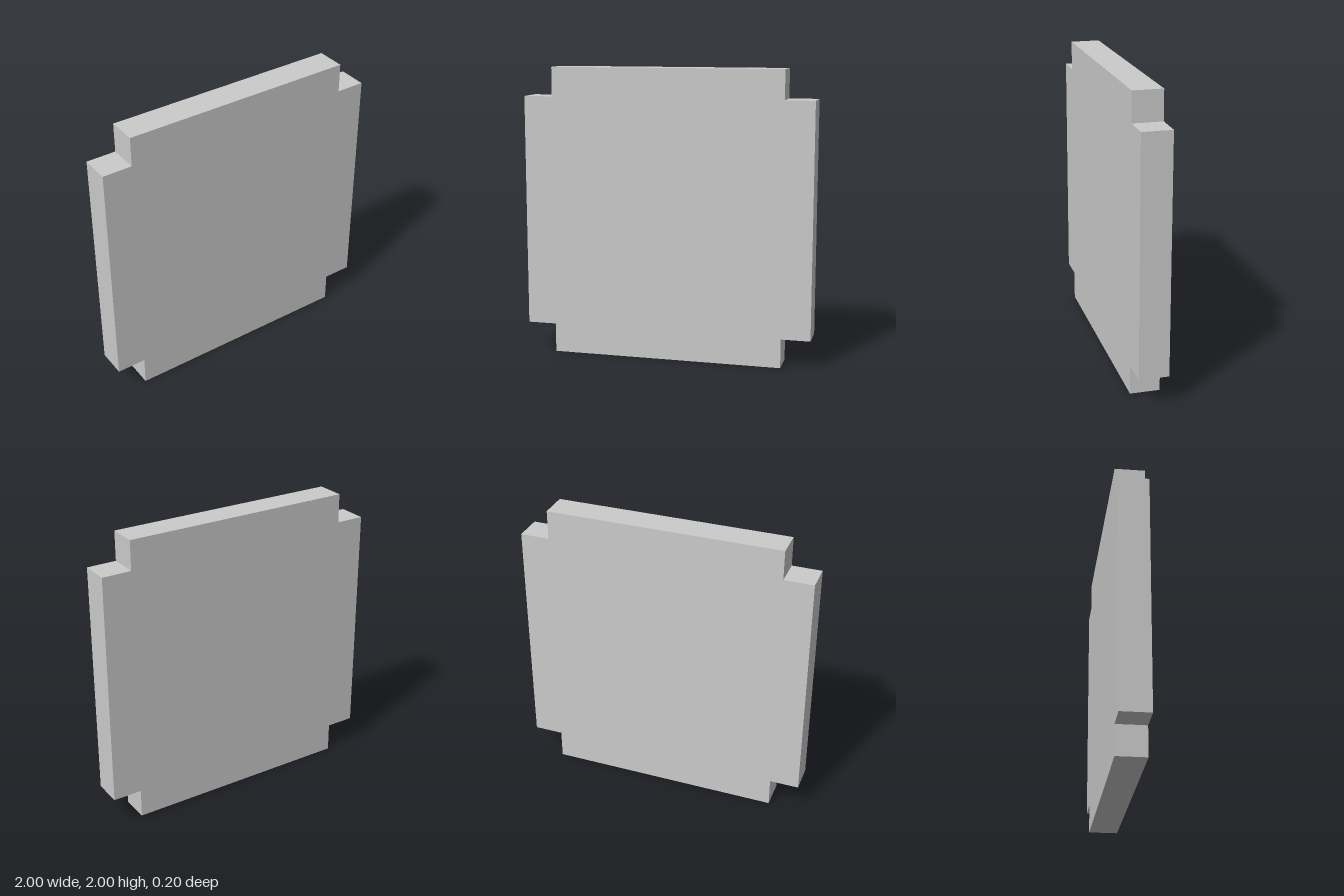
import * as THREE from 'three';

const HALF = 1;        // half the plate's width and height
const NOTCH = 0.2;     // side of each square corner cut-out
const THICKNESS = 0.2;

export function createModel() {
  const group = new THREE.Group();
  group.name = 'notchedPlate';

  // Square outline with a square notch at each corner, counter-clockwise
  const inner = HALF - NOTCH;
  const points = [];
  for (const [sx, sy] of [[1, 1], [-1, 1], [-1, -1], [1, -1]]) {
    const corner = [
      new THREE.Vector2(sx * HALF, sy * inner),
      new THREE.Vector2(sx * inner, sy * inner),
      new THREE.Vector2(sx * inner, sy * HALF),
    ];
    points.push(...(sx * sy > 0 ? corner : corner.reverse()));
  }

  // Flat plate standing upright on its bottom edge
  const geometry = new THREE.ExtrudeGeometry(new THREE.Shape(points), {
    depth: THICKNESS,
    bevelEnabled: false,
  });
  geometry.translate(0, HALF, -THICKNESS / 2);

  const plate = new THREE.Mesh(
    geometry,
    new THREE.MeshStandardMaterial({ color: 0xcccccc, flatShading: true }),
  );
  plate.name = 'plate';
  group.add(plate);
  return group;
}
